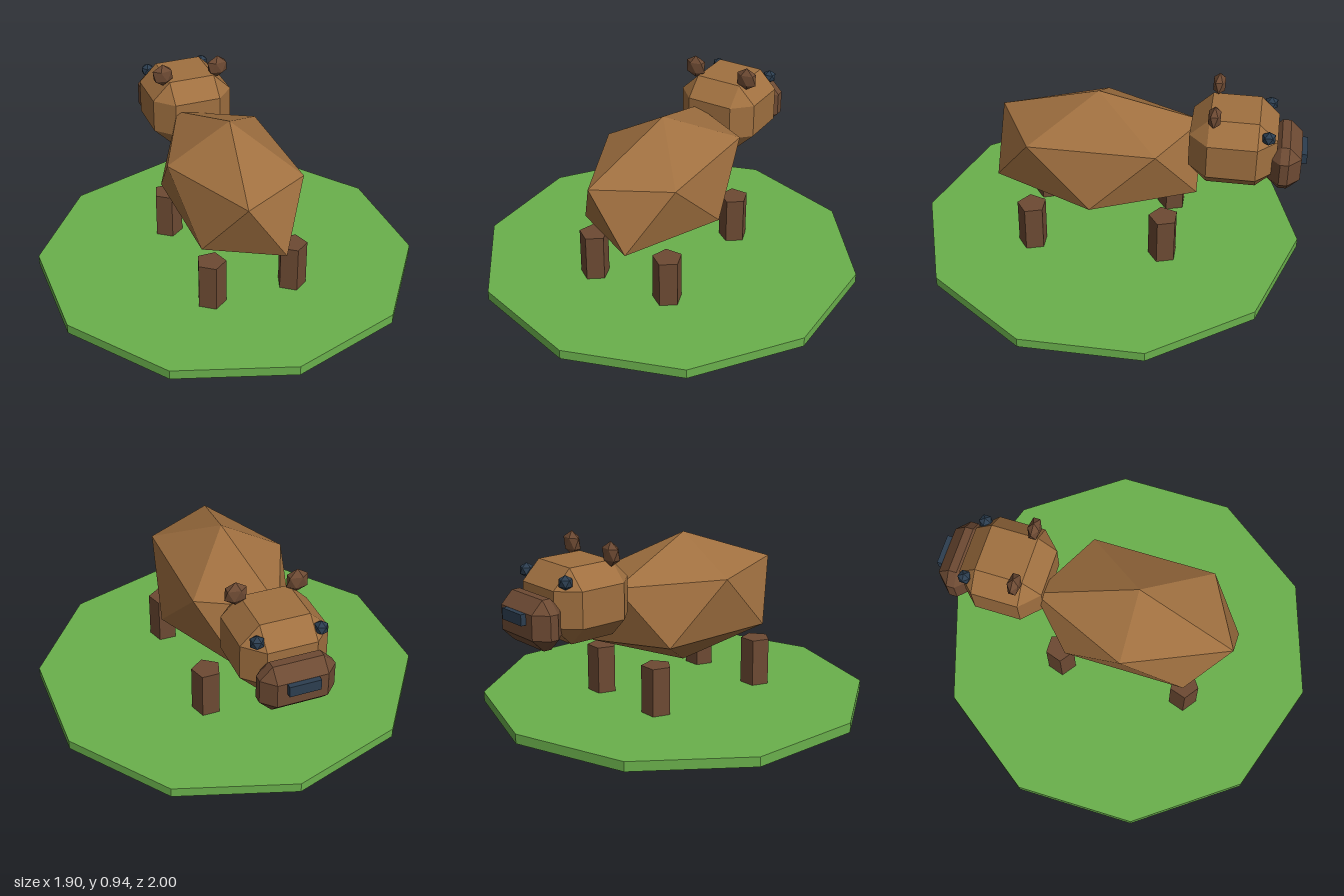
import * as THREE from 'three';
import { ConvexGeometry } from 'three/addons/geometries/ConvexGeometry.js';

const material = (name, color) => {
  const m = new THREE.MeshStandardMaterial({ color, flatShading: true });
  m.name = name;
  return m;
};

// Twenty-sided ball with poles on the y axis, stretched to the given radii
function gem(rx, ry, rz) {
  const points = [new THREE.Vector3(0, ry, 0), new THREE.Vector3(0, -ry, 0)];
  const ring = 2 / Math.sqrt(5), level = 1 / Math.sqrt(5);
  for (let i = 0; i < 5; i++) {
    const a = (i * Math.PI * 2) / 5;
    const x = ring * Math.cos(a) * rx, z = ring * Math.sin(a) * rz;
    points.push(new THREE.Vector3(-x, level * ry, z));
    points.push(new THREE.Vector3(x, -level * ry, z));
  }
  return new ConvexGeometry(points);
}

// Box with half sizes hx, hy, hz and every edge cut back by b
function bevelBox(hx, hy, hz, b) {
  const points = [];
  for (const x of [-1, 1]) for (const y of [-1, 1]) for (const z of [-1, 1]) {
    points.push(new THREE.Vector3(x * hx, y * (hy - b), z * (hz - b)));
    points.push(new THREE.Vector3(x * (hx - b), y * hy, z * (hz - b)));
    points.push(new THREE.Vector3(x * (hx - b), y * (hy - b), z * hz));
  }
  return new ConvexGeometry(points);
}

export function createModel() {
  const group = new THREE.Group();
  const grass = material('grass green', 0x6ab04c);
  const fur = material('brown fur', 0xa07040);
  const darkFur = material('dark brown fur', 0x6d4a33);
  const slate = material('dark slate', 0x2c3e50);

  const add = (name, geometry, mat, x, y, z) => {
    const mesh = new THREE.Mesh(geometry, mat);
    mesh.name = name;
    mesh.position.set(x, y, z);
    group.add(mesh);
  };

  // Ten-sided ground plate
  add('ground', new THREE.CylinderGeometry(1, 1, 0.05, 10), grass, 0, 0.025, 0);

  // Body, head and muzzle
  add('body', gem(0.37, 0.345, 0.61), fur, 0, 0.535, 0.06);
  add('head', bevelBox(0.22, 0.185, 0.217, 0.095), fur, 0, 0.66, -0.627);
  add('muzzle', bevelBox(0.187, 0.123, 0.083, 0.062), darkFur, 0, 0.597, -0.885);
  add('nose', new THREE.BoxGeometry(0.156, 0.055, 0.05), slate, 0, 0.63, -0.97);

  // Paired parts
  const leg = new THREE.CylinderGeometry(0.077, 0.077, 0.25, 5);
  const ear = gem(0.062, 0.062, 0.035);
  const eye = gem(0.037, 0.037, 0.037);
  for (const [side, s] of [['left', 1], ['right', -1]]) {
    add(side + 'LegA', leg, darkFur, s * 0.22, 0.172, -0.307);
    add(side + 'LegB', leg, darkFur, s * 0.22, 0.172, 0.378);
    add(side + 'Ear', ear, darkFur, s * 0.155, 0.883, -0.53);
    add(side + 'Eye', eye, slate, s * 0.158, 0.79, -0.798);
  }
  return group;
}
